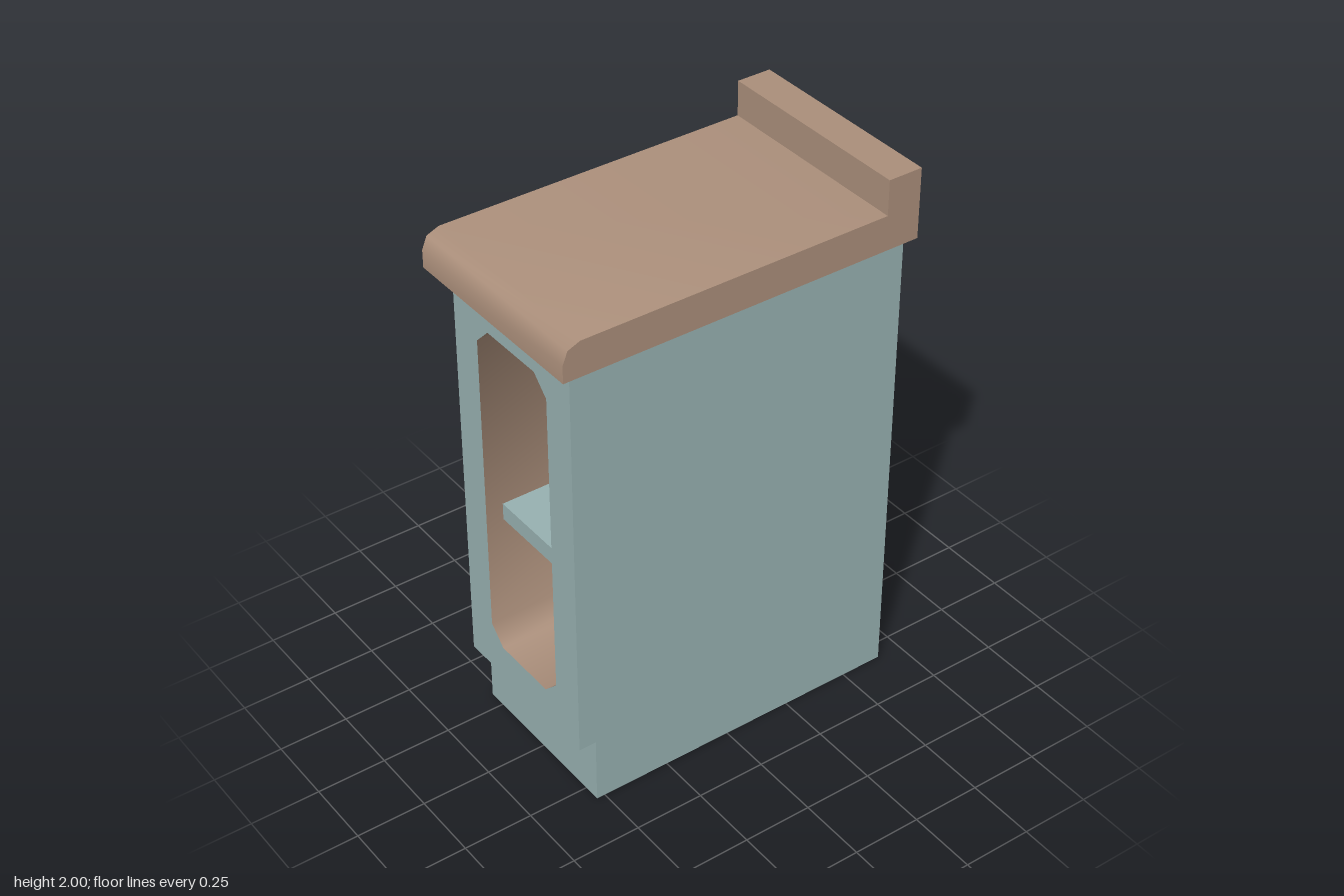
import * as THREE from 'three';
import { toCreasedNormals } from 'three/addons/utils/BufferGeometryUtils.js';

const teal = new THREE.MeshStandardMaterial({ color: 0x97b0b0 });
teal.name = 'painted teal';
const brown = new THREE.MeshStandardMaterial({ color: 0xaa8e7a });
brown.name = 'warm brown';

const points = (list) => list.map(([x, y]) => new THREE.Vector2(x, y));

// Tall cabinet opening with clipped corners
const W = 0.1875, LOW = 0.375, HIGH = 1.625, CUT = 0.0625;
const opening = points([
  [-W + CUT, LOW], [W - CUT, LOW], [W, LOW + CUT], [W, HIGH - CUT],
  [W - CUT, HIGH], [-W + CUT, HIGH], [-W, HIGH - CUT], [-W, LOW + CUT],
]);

export function createModel() {
  const group = new THREE.Group();
  const add = (name, geometry, material) => {
    const mesh = new THREE.Mesh(geometry, material);
    mesh.name = name;
    group.add(mesh);
    return mesh;
  };
  // Box given by its lower and upper corners
  const box = (name, [x0, y0, z0], [x1, y1, z1], material) =>
    add(name, new THREE.BoxGeometry(x1 - x0, y1 - y0, z1 - z0), material)
      .position.set((x0 + x1) / 2, (y0 + y1) / 2, (z0 + z1) / 2);

  const left = -0.594, right = 0.656, kick = -0.531, back = 0.531, half = 0.3125;

  // Hollow carcass: teal outside, brown lining inside the opening
  const outline = new THREE.Shape(points([[-half, 0.25], [half, 0.25], [half, 1.75], [-half, 1.75]]));
  outline.holes.push(new THREE.Path(opening));
  let carcass = new THREE.ExtrudeGeometry(outline, { depth: back - left, bevelEnabled: false });
  const [caps, sides] = carcass.groups.map((g) => ({ ...g }));
  carcass.clearGroups();
  carcass.addGroup(caps.start, caps.count, 0);
  carcass.addGroup(sides.start, 24, 0);
  carcass.addGroup(sides.start + 24, sides.count - 24, 1);
  carcass = toCreasedNormals(carcass, 0.9);
  carcass.rotateY(Math.PI / 2).translate(left, 0, 0);
  add('carcass', carcass, [teal, brown]);

  // Inner back of the compartment
  const liner = new THREE.ShapeGeometry(new THREE.Shape(opening));
  liner.rotateY(-Math.PI / 2).translate(back - 0.002, 0, 0);
  add('compartmentBack', liner, brown);

  // Solid rear panel, recessed toe-kick base and shelf
  box('rearPanel', [back, 0.25, -half], [right, 1.75, half], teal);
  box('base', [kick, 0, -half], [right, 0.25, half], teal);
  box('shelf', [kick, 0.844, -W], [back - 0.003, 0.906, W], teal);

  // Countertop with rounded nose and upstand
  const profile = new THREE.Shape(points([
    [-0.656, 1.75], [right, 1.75], [right, 2], [0.531, 2], [0.531, 1.875],
    [-0.594, 1.875], [-0.638, 1.857], [-0.656, 1.8125],
  ]));
  const counter = new THREE.ExtrudeGeometry(profile, { depth: 0.75, bevelEnabled: false });
  counter.translate(0, 0, -0.375);
  add('countertop', toCreasedNormals(counter, 0.9), brown);

  return group;
}
